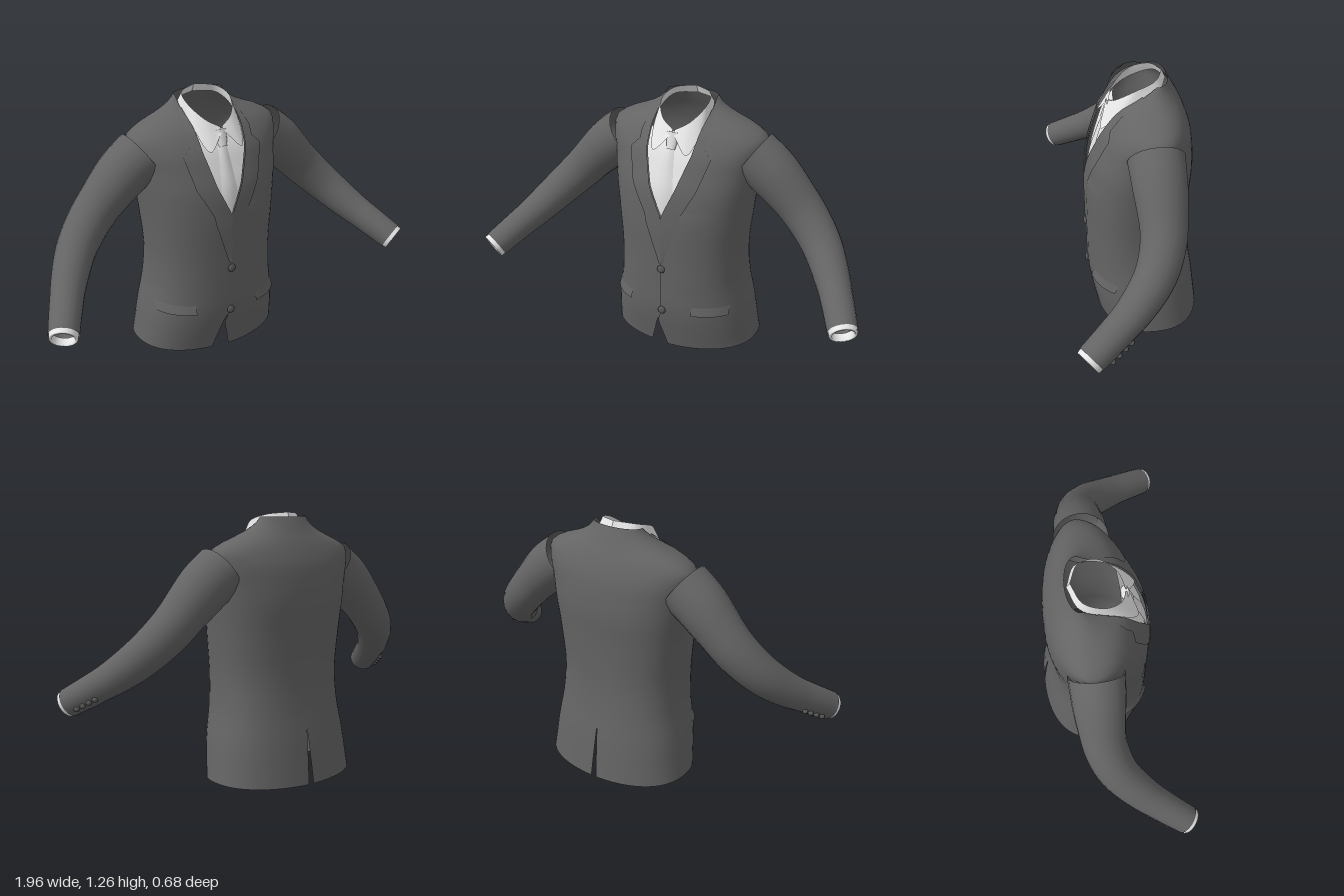
import * as THREE from 'three';
import { mergeVertices } from 'three/addons/utils/BufferGeometryUtils.js';

const mat = (name, color) => {
  const m = new THREE.MeshStandardMaterial({ color, side: THREE.DoubleSide });
  m.name = name;
  return m;
};

// Smooth surface from a grid of points fn(i, j); skip(i, j) leaves a quad open
function gridSurface(nu, nv, fn, skip = () => false) {
  const pos = [], index = [];
  for (let j = 0; j <= nv; j++)
    for (let i = 0; i <= nu; i++) pos.push(...fn(i, j).toArray());
  for (let j = 0; j < nv; j++)
    for (let i = 0; i < nu; i++) {
      if (skip(i, j)) continue;
      const a = j * (nu + 1) + i, b = a + 1, c = a + nu + 1, d = c + 1;
      index.push(a, b, d, a, d, c);
    }
  let g = new THREE.BufferGeometry();
  g.setAttribute('position', new THREE.Float32BufferAttribute(pos, 3));
  g.setIndex(index);
  g = mergeVertices(g, 1e-4);
  g.computeVertexNormals();
  return g;
}

// Table of [key, values...] rows, returned as a function of the key
function table(rows, Type = THREE.LinearInterpolant) {
  const n = rows[0].length - 1;
  const f = new Type(rows.map(r => r[0]), rows.flatMap(r => r.slice(1)), n);
  return k => Array.from(f.evaluate(Math.min(Math.max(k, rows[0][0]), rows.at(-1)[0])));
}

// Body cross-sections: height, half width, front z, back z, middle z, squareness
const section = table([
  [0, 0.372, 0.15, -0.35, -0.1, 0.85],
  [0.2, 0.347, 0.185, -0.325, -0.08, 0.82],
  [0.35, 0.32, 0.19, -0.302, -0.07, 0.8],
  [0.5, 0.313, 0.19, -0.29, -0.06, 0.8],
  [0.7, 0.33, 0.19, -0.295, -0.07, 0.8],
  [0.85, 0.35, 0.175, -0.305, -0.08, 0.82],
  [0.95, 0.365, 0.145, -0.3, -0.09, 0.85],
  [1.03, 0.385, 0.115, -0.288, -0.1, 0.9],
  [1.09, 0.385, 0.08, -0.268, -0.11, 1],
  [1.13, 0.32, 0.05, -0.25, -0.115, 1],
  [1.17, 0.22, 0, -0.228, -0.12, 1],
  [1.21, 0.155, -0.05, -0.208, -0.125, 1],
  [1.245, 0.13, -0.09, -0.19, -0.13, 1],
], THREE.CubicInterpolant);

// Front edges of the two jacket halves: height, left x, right x
const opening = table([
  [0, 0, -0.09], [0.15, -0.04, -0.045], [0.2, -0.02, -0.012], [0.73, -0.012, -0.012],
  [0.87, 0.052, -0.078], [1.03, 0.108, -0.12], [1.18, 0.129, -0.13], [1.245, 0.128, -0.128],
]);

const spow = (v, e) => Math.sign(v) * Math.abs(v) ** e;

// Point on the body at angle t (0 front, PI back)
function bodyPoint(t, y) {
  const [a, zf, zb, zc, e] = section(y);
  const c = Math.cos(t);
  return new THREE.Vector3(a * spow(Math.sin(t), e), y, zc + (c > 0 ? zf - zc : zc - zb) * spow(c, e));
}
function angleAt(x, y) {
  const [a, , , , e] = section(y);
  return Math.asin(spow(Math.max(-1, Math.min(1, x / a)), 1 / e));
}
function frontPoint(x, y, off) {
  const p = bodyPoint(angleAt(x, y), y);
  p.z += off;
  return p;
}
// Patch lying over the chest, between x0(y) and x1(y)
const frontPatch = (y0, y1, x0, x1, off, nu = 8, nv = 20) => gridSurface(nu, nv, (i, j) => {
  const y = y0 + (y1 - y0) * j / nv, u = i / nu;
  return frontPoint(x0(y) + (x1(y) - x0(y)) * u, y, typeof off === 'function' ? off(u, j / nv) : off);
});

// Round tube: rings of radius around centres with given frames
const ringTube = (rings, sides = 20) => gridSurface(sides, rings.length - 1, (i, j) => {
  const { p, n, b, r } = rings[j], a = i / sides * Math.PI * 2;
  return p.clone().addScaledVector(n, r * Math.cos(a)).addScaledVector(b, r * Math.sin(a));
});

export function createModel() {
  const model = new THREE.Group();
  const cloth = mat('charcoal cloth', 0x646464);
  const white = mat('shirt white', 0xe6e6e6);
  const silk = mat('tie silver', 0xdedede);
  const buttonMat = mat('button grey', 0x585858);
  const add = (name, geo, m, parent = model) => {
    const mesh = new THREE.Mesh(geo, m);
    mesh.name = name;
    parent.add(mesh);
    return mesh;
  };

  // Jacket body: left half, back vent, right half
  const half = 26, rows = 56, ventTop = 0.27;
  add('jacketBody', gridSurface(half * 2 + 1, rows, (i, j) => {
    const y = 1.245 * j / rows, [xl, xr] = opening(y);
    const gap = angleAt(0.014 * Math.max(0, 1 - y / ventTop), y);
    const left = i <= half;
    const t = left
      ? THREE.MathUtils.lerp(angleAt(xl, y), Math.PI - gap, i / half)
      : THREE.MathUtils.lerp(Math.PI + gap, Math.PI * 2 + angleAt(xr, y), (i - half - 1) / half);
    const p = bodyPoint(t, y);
    if (left && y < 0.75) p.z += 0.006 * Math.max(0, Math.cos(t)) ** 8;
    p.y += 0.015 * Math.abs(Math.sin(t)) * Math.max(0, 1 - y / 0.1);
    return p;
  }, i => i === half), cloth);

  // Lapels folded back along the opening
  const lapelWidth = table([[0.48, 0.012], [0.7, 0.085], [0.87, 0.1], [1.03, 0.095], [1.05, 0.05], [1.1, 0.05], [1.2, 0.012]]);
  for (const s of [1, -1]) {
    const inner = y => opening(y)[s > 0 ? 0 : 1];
    add(s > 0 ? 'leftLapel' : 'rightLapel',
      frontPatch(0.48, 1.2, inner, y => inner(y) + s * lapelWidth(y)[0], u => 0.011 - 0.004 * u, 6, 36), cloth);
  }

  // Pocket flaps
  for (const [name, a, b, y] of [['leftPocketFlap', 0.14, 0.3, 0.22], ['rightPocketFlap', -0.33, -0.19, 0.23]])
    add(name, frontPatch(y, y + 0.045, () => a, () => b, (u, v) => 0.016 - 0.014 * v, 8, 4), cloth);

  // Front buttons
  for (const y of [0.22, 0.45]) {
    const b = add('frontButton', new THREE.SphereGeometry(0.02, 16, 10), buttonMat);
    b.position.copy(frontPoint(-0.012, y, 0.009));
    b.scale.z = 0.5;
  }

  // Shirt front and tie
  add('shirtFront', frontPatch(0.7, 1.11, y => opening(y)[1] - 0.015, y => opening(y)[0] + 0.015, -0.014), white);
  const tieHalf = y => 0.02 + 0.025 * Math.min(1, (1.07 - y) / 0.25);
  add('tie', frontPatch(0.71, 1.06, y => -0.008 - tieHalf(y), y => -0.008 + tieHalf(y),
    u => -0.01 + 0.008 * Math.sin(u * Math.PI)), silk);
  const knot = add('tieKnot', new THREE.CylinderGeometry(0.034, 0.021, 0.08, 14), silk);
  knot.position.set(-0.004, 1.075, 0.088);
  knot.scale.z = 0.6;
  knot.rotation.x = -0.4;

  // Shirt collar: from the front points round to the back of the neck
  const curve = pts => new THREE.CatmullRomCurve3(pts.map(p => new THREE.Vector3(...p)));
  const collarTop = curve([[0.004, 1.125, 0.078], [0.07, 1.165, 0.05], [0.115, 1.225, -0.03], [0.092, 1.255, -0.12], [0, 1.265, -0.165]]);
  const collarBase = curve([[0.012, 1.1, 0.1], [0.085, 1.03, 0.126], [0.125, 1.15, 0.01], [0.105, 1.215, -0.135], [0, 1.225, -0.183]]);
  for (const s of [1, -1])
    add(s > 0 ? 'leftCollar' : 'rightCollar', gridSurface(32, 3, (i, j) => {
      const p = collarTop.getPoint(i / 32).lerp(collarBase.getPoint(i / 32), j / 3);
      p.x *= s;
      return p;
    }), white);

  // Sleeves with shirt cuffs and cuff buttons
  const radius = table([[0, 0.13], [0.15, 0.122], [0.3, 0.107], [0.45, 0.099], [0.6, 0.09], [0.8, 0.076], [1, 0.069]]);
  for (const s of [1, -1]) {
    const arm = new THREE.Group();
    arm.name = s > 0 ? 'leftArm' : 'rightArm';
    model.add(arm);
    const path = curve([[0.33, 1, -0.09], [0.41, 0.945, -0.09], [0.5, 0.86, -0.09], [0.6, 0.755, -0.08],
      [0.7, 0.65, -0.03], [0.79, 0.55, 0.07], [0.855, 0.48, 0.17], [0.917, 0.412, 0.275]].map(([x, y, z]) => [x * s, y, z]));
    const n = 30, fr = path.computeFrenetFrames(n);
    const ring = (k, r, d = 0) => ({
      p: path.getPointAt(k / n).addScaledVector(fr.tangents[k], d), n: fr.normals[k], b: fr.binormals[k], r,
    });
    add('sleeve', ringTube(Array.from({ length: n + 1 }, (_, k) => ring(k, radius(k / n)[0]))), cloth, arm);
    add('shirtCuff', ringTube([[0.066, -0.02], [0.064, 0.018], [0.06, 0.022], [0.051, 0.02], [0.051, -0.015]]
      .map(([r, d]) => ring(n, r, d))), white, arm);
    for (let k = 0; k < 4; k++) {
      const u = 0.83 + k * 0.038;
      const t = path.getTangentAt(u);
      const out = new THREE.Vector3(0.6 * s, -0.7, -0.85);
      out.addScaledVector(t, -out.dot(t)).normalize();
      const b = add('cuffButton', new THREE.SphereGeometry(0.013, 12, 8), buttonMat, arm);
      b.position.copy(path.getPointAt(u)).addScaledVector(out, radius(u)[0] + 0.002);
    }
  }
  return model;
}
